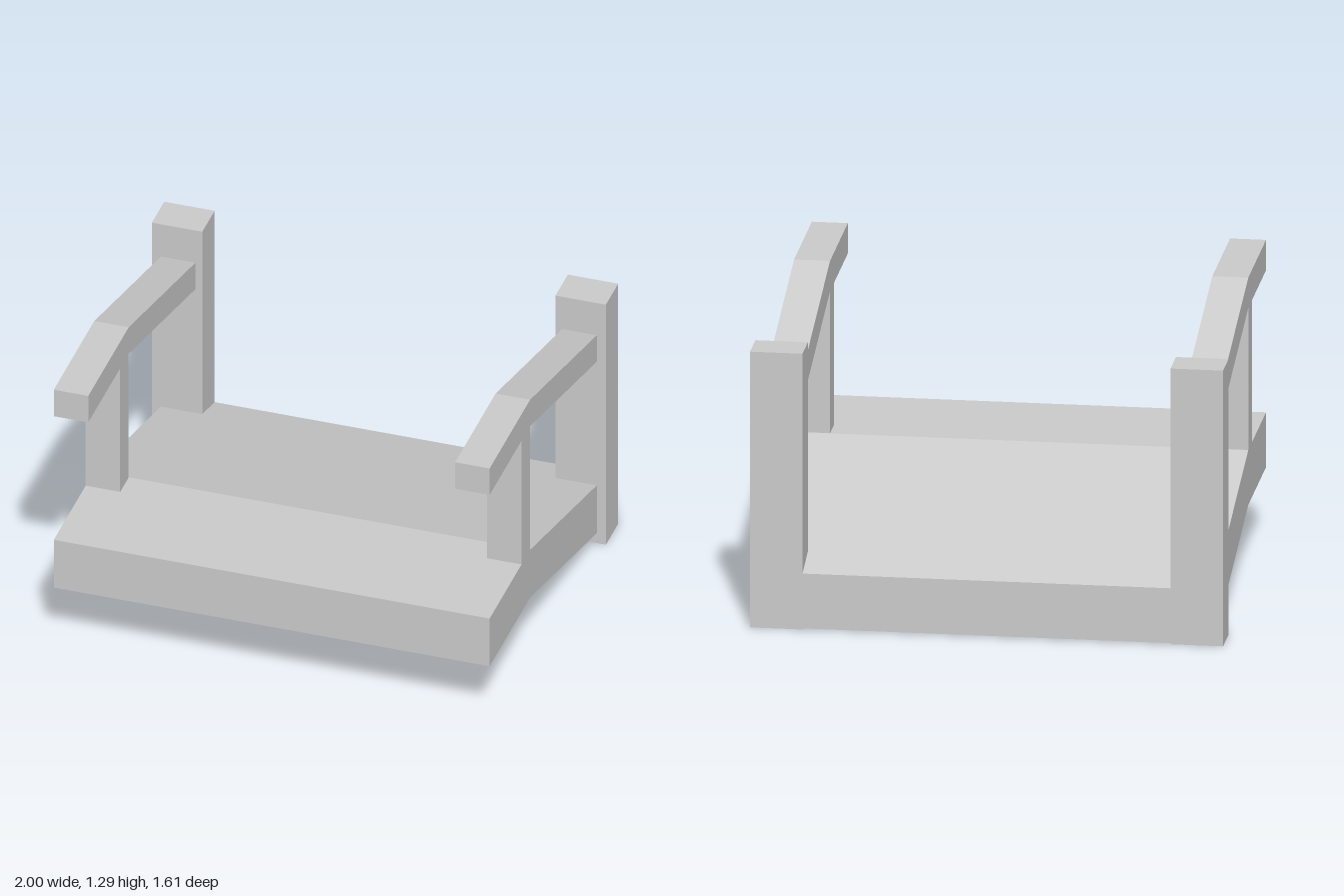
import * as THREE from 'three';

const material = new THREE.MeshStandardMaterial({ color: 0xcccccc, flatShading: true });

// Extrudes a side profile of [z, y] points from x0 to x1
function sideProfile(name, points, x0, x1) {
  const shape = new THREE.Shape(points.map(([z, y]) => new THREE.Vector2(-z, y)));
  const geometry = new THREE.ExtrudeGeometry(shape, { depth: x1 - x0, bevelEnabled: false });
  geometry.rotateY(Math.PI / 2).translate(x0, 0, 0);
  const mesh = new THREE.Mesh(geometry, material);
  mesh.name = name;
  return mesh;
}

// Box given by its limits on each axis
function block(name, [x0, x1], [y0, y1], [z0, z1]) {
  const mesh = new THREE.Mesh(new THREE.BoxGeometry(x1 - x0, y1 - y0, z1 - z0), material);
  mesh.position.set((x0 + x1) / 2, (y0 + y1) / 2, (z0 + z1) / 2);
  mesh.name = name;
  return mesh;
}

// Level bar at the front that slopes down towards the back from the bend
function bentBar(name, bottom, top, back, x0, x1) {
  const front = 0.807, bend = 0.26, slope = 0.272;
  const drop = (bend - back) * slope;
  return sideProfile(name, [
    [front, bottom], [bend, bottom], [back, bottom - drop],
    [back, top - drop], [bend, top], [front, top],
  ], x0, x1);
}

export function createModel() {
  const model = new THREE.Group();
  model.name = 'bench';

  // Thick seat, flush with the back of the posts
  model.add(bentBar('seat', 0.295, 0.535, -0.807, -0.96, 0.96));

  for (const [side, s] of [['left', 1], ['right', -1]]) {
    const span = (a, b) => (s > 0 ? [a, b] : [-b, -a]);
    // Back post
    model.add(block(side + 'BackPost', span(0.778, 1), [0, 1.207], [-0.807, -0.64]));
    // Armrest, let into the post
    model.add(bentBar(side + 'Armrest', 1.157, 1.29, -0.65, ...span(0.808, 0.96)));
    // Upright between seat and armrest
    model.add(block(side + 'ArmSupport', span(0.808, 0.96), [0.53, 1.16], [0.262, 0.376]));
  }
  return model;
}
